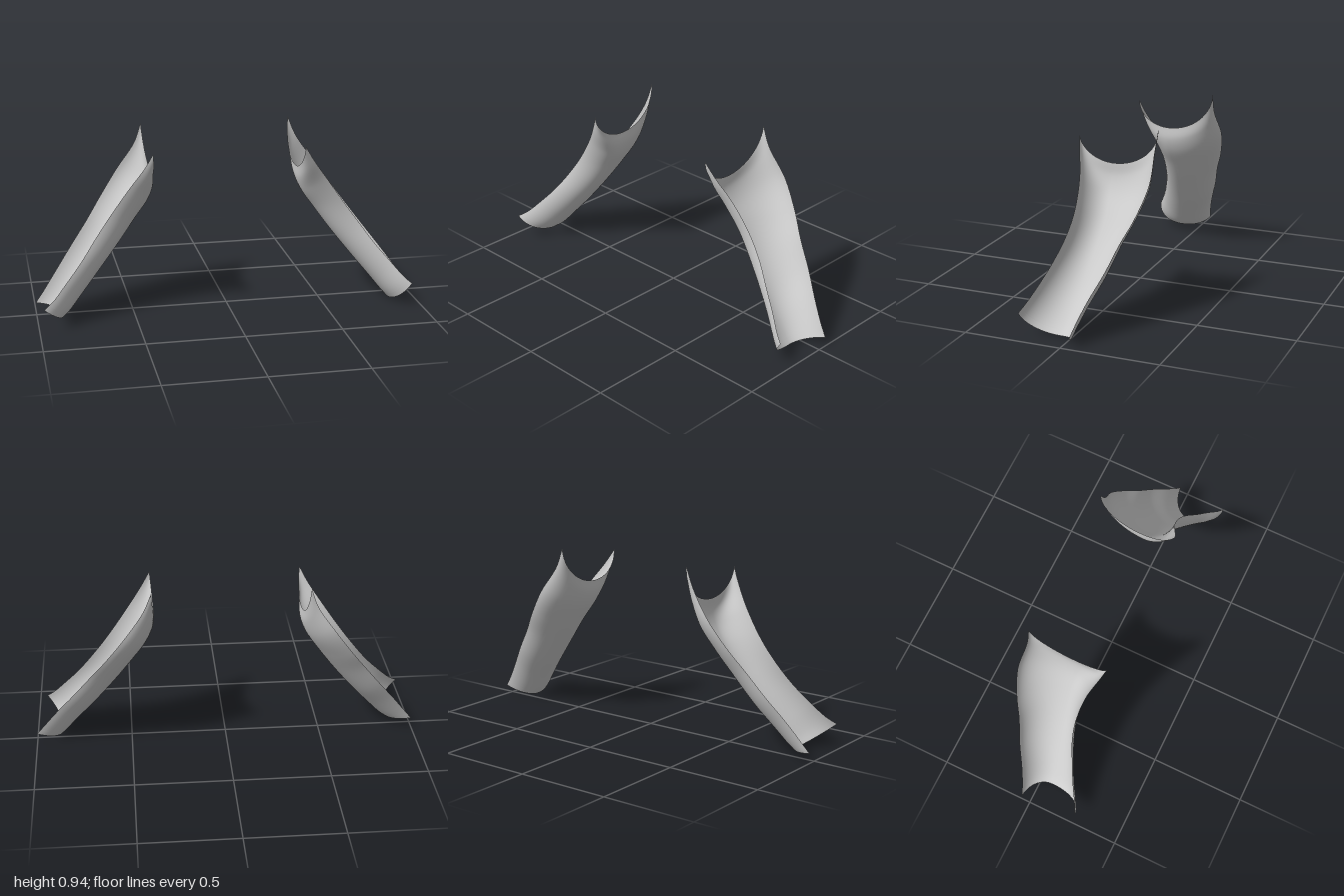
import * as THREE from 'three';

// Guide points from shoulder to wrist: back edge, inner valley, front edge
const BACK = [[.385, .935, -.25], [.43, .83, -.247], [.53, .69, -.258], [.63, .55, -.225], [.71, .44, -.18],
  [.80, .32, -.14], [.89, .20, -.09], [.955, .11, -.06], [1, .05, -.045]];
const VALLEY = [[.368, .732, -.01], [.372, .67, 0], [.40, .60, 0], [.47, .50, -.01], [.565, .37, 0],
  [.68, .225, .02], [.77, .115, .045], [.83, .04, .06], [.865, 0, .065]];
const FRONT = [[.38, .87, .17], [.43, .79, .148], [.51, .68, .113], [.61, .54, .097], [.69, .43, .11],
  [.77, .32, .145], [.85, .225, .185], [.91, .155, .22], [.95, .12, .24]];

const curve = pts => new THREE.CatmullRomCurve3(pts.map(p => new THREE.Vector3(...p)));
const back = curve(BACK), valley = curve(VALLEY), front = curve(FRONT);

// Point on the channel: v runs shoulder to wrist, a runs back edge (-1) to front edge (1)
function surfacePoint(v, a, side) {
  const m = valley.getPoint(v);
  const e = (a < 0 ? back : front).getPoint(v);
  const phi = Math.abs(a) * Math.PI / 2;
  const rise = 1 - Math.cos(phi);
  const p = new THREE.Vector3(
    THREE.MathUtils.lerp(m.x, e.x, rise),
    THREE.MathUtils.lerp(m.y, e.y, rise),
    THREE.MathUtils.lerp(m.z, e.z, Math.sin(phi)));
  // the right sleeve hangs slightly differently
  if (side < 0) {
    p.x += .022 * (1 - v) ** 3 + (a > 0 ? .025 * rise * v ** 4 : 0);
    p.y += .028 * v ** 4 * (1 - rise);
    p.z += a > 0 ? .018 * v ** 4 : 0;
  }
  p.x *= side;
  return p;
}

function shell(v0, v1, rows, side) {
  const cols = 32, pos = [], index = [];
  for (let i = 0; i <= rows; i++) {
    for (let j = 0; j <= cols; j++) {
      const p = surfacePoint(v0 + (v1 - v0) * i / rows, j / cols * 2 - 1, side);
      pos.push(p.x, p.y, p.z);
      if (i < rows && j < cols) {
        const k = i * (cols + 1) + j, n = k + cols + 1;
        if (side > 0) index.push(k, k + 1, n, k + 1, n + 1, n);
        else index.push(k, n, k + 1, k + 1, n, n + 1);
      }
    }
  }
  const g = new THREE.BufferGeometry();
  g.setAttribute('position', new THREE.Float32BufferAttribute(pos, 3));
  g.setIndex(index);
  g.computeVertexNormals();
  return g;
}

export function createModel() {
  const model = new THREE.Group();
  model.name = 'sleevePair';
  const cloth = new THREE.MeshStandardMaterial({ color: 0xcccccc, side: THREE.DoubleSide });
  cloth.name = 'light grey cloth';

  for (const side of [1, -1]) {
    const sleeve = new THREE.Group();
    sleeve.name = side > 0 ? 'leftSleeve' : 'rightSleeve';
    // open sleeve panel
    const panel = new THREE.Mesh(shell(0, .93, 56, side), cloth);
    panel.name = 'sleevePanel';
    // hem band at the wrist
    const hem = new THREE.Mesh(shell(.93, 1, 5, side), cloth);
    hem.name = 'wristHem';
    sleeve.add(panel, hem);
    model.add(sleeve);
  }
  return model;
}
